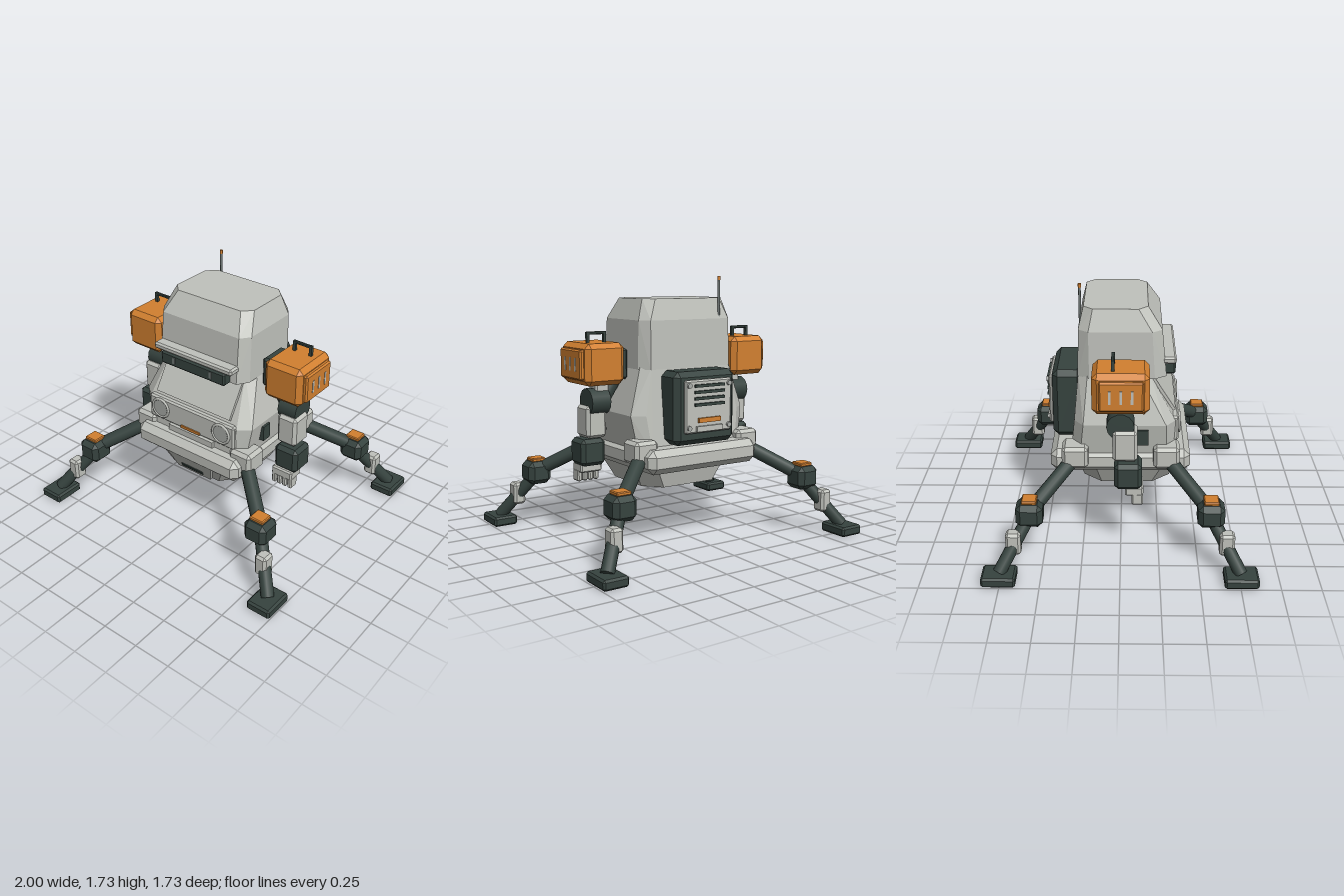
import * as THREE from 'three';
import { ConvexGeometry } from 'three/addons/geometries/ConvexGeometry.js';

const mat = (name, color) => {
  const m = new THREE.MeshStandardMaterial({ color });
  m.name = name;
  return m;
};
const V = (x, y, z) => new THREE.Vector3(x, y, z);

export function createModel() {
  const root = new THREE.Group();
  root.name = 'walkerRobot';
  const grey = mat('pale grey shell', 0xc0c2bc);
  const dark = mat('dark green grey', 0x36433f);
  const orange = mat('orange', 0xd28030);
  const lens = mat('lens grey', 0xa9aca8);
  const steel = mat('steel grey', 0x6f7775);

  const add = (parent, name, geometry, material, pos = [0, 0, 0]) => {
    const m = new THREE.Mesh(geometry, material);
    m.name = name;
    m.position.set(...pos);
    parent.add(m);
    return m;
  };
  // box with every edge bevelled by c
  const box = (parent, name, material, [w, h, d], pos, c = 0) => {
    if (!c) return add(parent, name, new THREE.BoxGeometry(w, h, d), material, pos);
    const pts = [];
    for (const x of [-1, 1]) for (const y of [-1, 1]) for (const z of [-1, 1]) {
      const a = w / 2, b = h / 2, e = d / 2;
      pts.push(V(x * a, y * (b - c), z * (e - c)), V(x * (a - c), y * b, z * (e - c)), V(x * (a - c), y * (b - c), z * e));
    }
    return add(parent, name, new ConvexGeometry(pts), material, pos);
  };
  // faceted shell through chamfered rectangles: [y, half width, back z, front z, chamfer x, chamfer z]
  const shell = (name, material, rings) => {
    const pts = [];
    for (const [y, x, b, f, cx, cz] of rings) for (const s of [-1, 1]) {
      pts.push(V(s * x, y, b + cz), V(s * (x - cx), y, b), V(s * x, y, f - cz), V(s * (x - cx), y, f));
    }
    return add(root, name, new ConvexGeometry(pts), material);
  };
  // straight rod between two points
  const rod = (parent, name, material, a, b, r) => {
    const p = V(...a), q = V(...b), dir = q.clone().sub(p);
    const m = add(parent, name, new THREE.CylinderGeometry(r, r, dir.length(), 14), material);
    m.position.copy(p).add(q).multiplyScalar(0.5);
    m.quaternion.setFromUnitVectors(V(0, 1, 0), dir.normalize());
    return m;
  };

  // main shells
  shell('head', grey, [
    [1.585, 0.31, -0.235, 0.17, 0.06, 0.06],
    [1.45, 0.355, -0.268, 0.26, 0.05, 0.065],
    [1.14, 0.36, -0.275, 0.29, 0.05, 0.075]]);
  shell('torso', grey, [
    [1.16, 0.35, -0.272, 0.18, 0.05, 0.06],
    [0.85, 0.44, -0.3, 0.35, 0.08, 0.06],
    [0.62, 0.40, -0.325, 0.36, 0.07, 0.06]]);
  box(root, 'waist', grey, [0.85, 0.155, 0.91], [0, 0.575, -0.003], 0.042);
  shell('lowerHull', grey, [
    [0.51, 0.37, -0.285, 0.385, 0.1, 0.12],
    [0.36, 0.295, -0.25, 0.325, 0.1, 0.12]]);

  // sloped front pane, visor and brow
  box(root, 'frontPane', grey, [0.61, 0.285, 0.02], [0, 1.02, 0.27]).rotation.x = -0.56;
  box(root, 'visor', dark, [0.52, 0.09, 0.09], [0, 1.175, 0.305], 0.012);
  box(root, 'brow', grey, [0.63, 0.045, 0.09], [0, 1.243, 0.307], 0.012);
  for (const s of [-1, 1]) box(root, 'visorMark', steel, [0.02, 0.045, 0.008], [s * 0.15, 1.18, 0.35]);

  // lamp panel
  box(root, 'lampPanel', grey, [0.71, 0.17, 0.05], [0, 0.787, 0.35], 0.012);
  for (const s of [-1, 1]) {
    rod(root, 'headlight', lens, [s * 0.255, 0.795, 0.36], [s * 0.255, 0.795, 0.382], 0.062);
    add(root, 'headlightRing', new THREE.TorusGeometry(0.066, 0.009, 8, 28), grey, [s * 0.255, 0.795, 0.379]);
  }
  box(root, 'frontStripe', orange, [0.16, 0.018, 0.016], [0, 0.72, 0.376]);
  box(root, 'frontSill', grey, [0.37, 0.05, 0.05], [0, 0.67, 0.355]);

  // tapered chin plate with vent
  const chin = [];
  for (const s of [-1, 1]) for (const d of [0, -0.03]) {
    chin.push(V(s * 0.195, 0.51, 0.41 + d), V(s * 0.14, 0.357, 0.345 + d));
  }
  add(root, 'chinPlate', new ConvexGeometry(chin), grey);
  box(root, 'chinVent', dark, [0.18, 0.03, 0.012], [0, 0.4, 0.363]).rotation.x = 0.4;

  // antenna
  rod(root, 'antenna', steel, [-0.235, 1.42, -0.257], [-0.235, 1.705, -0.257], 0.008);
  rod(root, 'antennaTip', orange, [-0.235, 1.7, -0.257], [-0.235, 1.725, -0.257], 0.01);

  // backpack
  const pack = new THREE.Group();
  pack.name = 'backpack';
  root.add(pack);
  box(pack, 'packBody', dark, [0.47, 0.47, 0.2], [0, 0.898, -0.35], 0.035);
  box(pack, 'packPanel', grey, [0.36, 0.34, 0.03], [0, 0.912, -0.46], 0.01);
  for (let i = 0; i < 4; i++) box(pack, 'packSlat', dark, [0.23, 0.018, 0.02], [0, 1.045 - i * 0.04, -0.48]);
  for (const s of [-1, 1]) for (const y of [0.78, 1.05]) {
    rod(pack, 'packBolt', lens, [s * 0.155, y, -0.465], [s * 0.155, y, -0.49], 0.016);
  }
  box(pack, 'packStripe', orange, [0.17, 0.03, 0.02], [0, 0.825, -0.48]);
  box(pack, 'packLatch', grey, [0.2, 0.035, 0.03], [0, 0.77, -0.475]);

  // shoulder pods and arms
  for (const s of [-1, 1]) {
    const arm = new THREE.Group();
    arm.name = s > 0 ? 'leftArm' : 'rightArm';
    root.add(arm);
    const part = (name, m, size, [x, y, z], c) => box(arm, name, m, size, [s * x, y, z], c);
    part('podMount', dark, [0.14, 0.2, 0.2], [0.38 + 0.06, 1.17, 0], 0.015);
    part('pod', orange, [0.28, 0.265, 0.35], [0.57, 1.18, 0.002], 0.032);
    part('podPlate', orange, [0.04, 0.19, 0.27], [0.715, 1.18, 0.005], 0.01);
    for (const z of [0.07, 0.003, -0.064]) part('podSlot', grey, [0.008, 0.085, 0.015], [0.734, 1.18, z]);
    for (const x of [0.515, 0.635]) part('handlePost', dark, [0.02, 0.08, 0.02], [x, 1.34, -0.045]);
    part('handleBar', dark, [0.14, 0.02, 0.02], [0.575, 1.372, -0.045], 0.005);
    part('neck', grey, [0.1, 0.12, 0.1], [0.53, 1.0, 0], 0.012);
    rod(arm, 'shoulderStrut', dark, [s * 0.4, 1.1, 0], [s * 0.52, 0.92, 0], 0.05);
    rod(arm, 'shoulderJoint', dark, [s * 0.49, 0.93, 0], [s * 0.625, 0.93, 0], 0.087);
    part('upperArm', grey, [0.145, 0.21, 0.157], [0.572, 0.8, 0.028], 0.02);
    part('forearm', dark, [0.175, 0.175, 0.175], [0.59, 0.6, 0.048], 0.025);
    part('palm', grey, [0.155, 0.065, 0.115], [0.575, 0.49, 0.087], 0.01);
    for (let i = 0; i < 4; i++) {
      part('finger', grey, [0.032, 0.08, 0.072], [0.515 + i * 0.041, 0.435, 0.107], 0.008);
    }
    part('sideHatch', dark, [0.04, 0.105, 0.07], [0.43, 0.765, 0.142]);
  }

  // four legs
  for (const sx of [-1, 1]) for (const sz of [-1, 1]) {
    const leg = new THREE.Group();
    leg.name = (sz > 0 ? 'front' : 'rear') + (sx > 0 ? 'Left' : 'Right') + 'Leg';
    root.add(leg);
    const at = (x, y, z) => [sx * x, y, sz * z];
    box(leg, 'hip', grey, [0.17, 0.15, 0.17], at(0.4, 0.63, 0.295), 0.022);
    rod(leg, 'thigh', dark, at(0.4, 0.6, 0.3), at(0.72, 0.385, 0.57), 0.047);
    box(leg, 'knee', dark, [0.165, 0.155, 0.17], at(0.718, 0.38, 0.57), 0.032);
    box(leg, 'kneeCap', orange, [0.1, 0.025, 0.095], at(0.715, 0.468, 0.57), 0.006);
    rod(leg, 'shin', dark, at(0.72, 0.36, 0.57), at(0.915, 0.06, 0.755), 0.042);
    box(leg, 'ankleGuard', grey, [0.085, 0.15, 0.095], at(0.818, 0.222, 0.668), 0.016);
    box(leg, 'foot', dark, [0.17, 0.065, 0.215], at(0.915, 0.0325, 0.757), 0.013);
  }
  return root;
}
